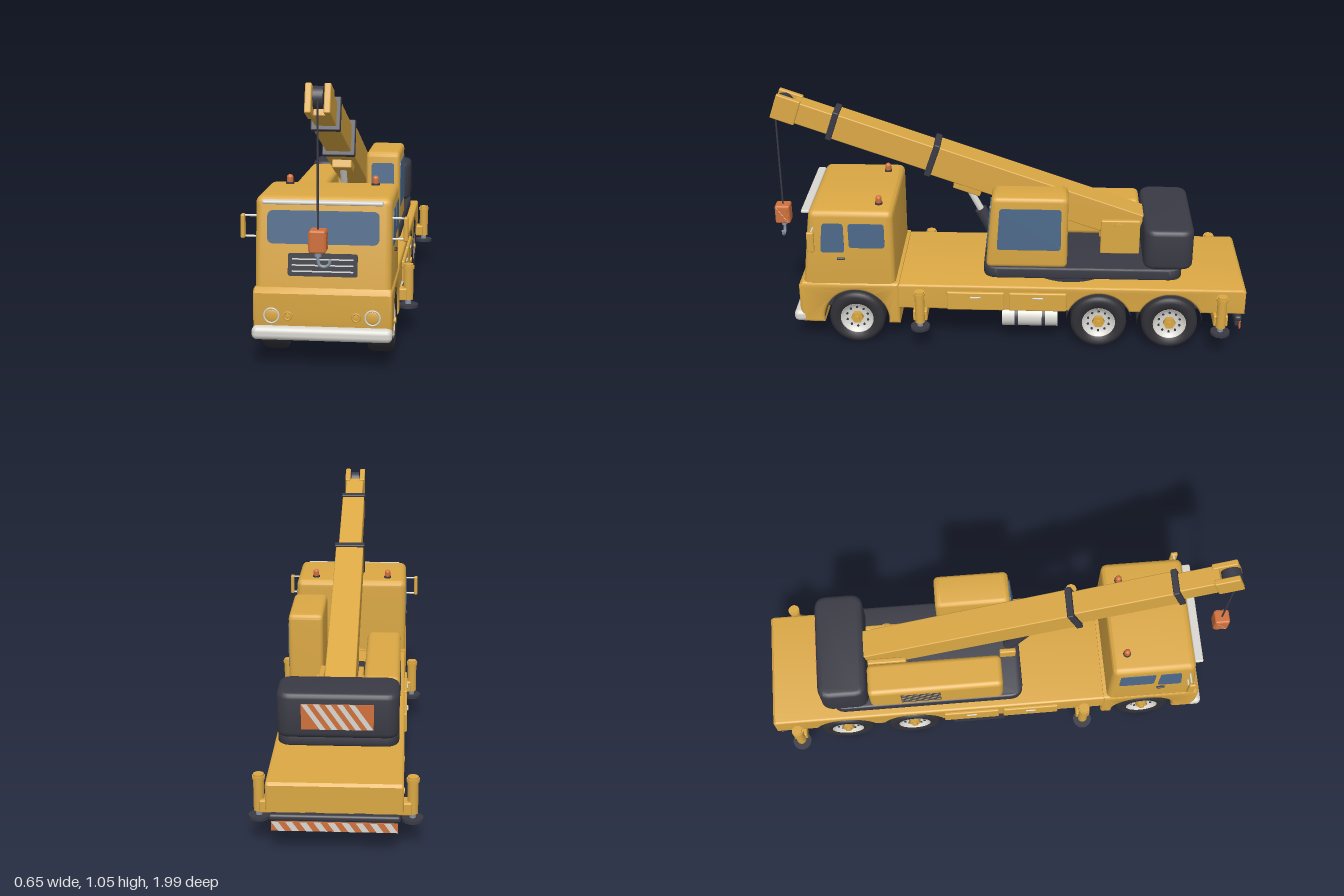
import * as THREE from 'three';
import { toCreasedNormals } from 'three/addons/utils/BufferGeometryUtils.js';
import { RoundedBoxGeometry } from 'three/addons/geometries/RoundedBoxGeometry.js';

const material = (name, color, extra = {}) =>
  Object.assign(new THREE.MeshStandardMaterial({ color, ...extra }), { name });

export function createModel() {
  const yellow = material('yellow paint', 0xdba844);
  const dark = material('dark metal', 0x3a3a45, { side: THREE.DoubleSide });
  const rubber = material('tyre rubber', 0x303036);
  const glass = material('glass', 0x4d6a8a);
  const white = material('light trim', 0xd9d7d0, { side: THREE.DoubleSide });
  const orange = material('orange', 0xd0703c);
  const steel = material('steel', 0x8493a0);

  const root = new THREE.Group();
  root.name = 'craneTruck';
  const add = (geo, mat, name, x = 0, y = 0, z = 0, parent = root) => {
    const m = new THREE.Mesh(geo, mat);
    m.name = name;
    m.position.set(x, y, z);
    parent.add(m);
    return m;
  };
  const box = (w, h, d, x, y, z, mat, name, r = 0.006, parent = root) =>
    add(new RoundedBoxGeometry(w, h, d, 3, Math.min(r, w / 2.1, h / 2.1, d / 2.1)), mat, name, x, y, z, parent);
  const cyl = (r, h, x, y, z, mat, name, axis = 'y', parent = root, seg = 28) => {
    const g = new THREE.CylinderGeometry(r, r, h, seg);
    if (axis === 'x') g.rotateZ(-Math.PI / 2);
    if (axis === 'z') g.rotateX(Math.PI / 2);
    return add(g, mat, name, x, y, z, parent);
  };
  // Polygon with rounded corners
  const poly = (pts, r) => {
    const s = new THREE.Shape(), v = pts.map(p => new THREE.Vector2(...p)), n = v.length;
    v.forEach((p, i) => {
      const toward = q => p.clone().add(q.clone().sub(p).setLength(r));
      const a = toward(v[(i + n - 1) % n]), b = toward(v[(i + 1) % n]);
      i ? s.lineTo(a.x, a.y) : s.moveTo(a.x, a.y);
      s.quadraticCurveTo(p.x, p.y, b.x, b.y);
    });
    s.closePath();
    return s;
  };
  const rect = (w, h, r) => poly([[-w / 2, -h / 2], [w / 2, -h / 2], [w / 2, h / 2], [-w / 2, h / 2]], r);
  const slab = (shape, depth, bevel = 0) => {
    const g = new THREE.ExtrudeGeometry(shape, {
      depth: depth - 2 * bevel, curveSegments: 16, bevelEnabled: bevel > 0,
      bevelSize: bevel, bevelOffset: -bevel, bevelThickness: bevel, bevelSegments: 4 });
    g.translate(0, 0, bevel - depth / 2);
    return toCreasedNormals(g, 0.6);
  };
  // Side profile given as (z, y), extruded across x
  const side = (shape, width, mat, name, bevel = 0, x = 0) =>
    add(slab(shape, width, bevel).rotateY(-Math.PI / 2), mat, name, x);
  const axleY = 0.118;
  const arch = (s, z, r, yb) => {
    const a = Math.asin((yb - axleY) / r);
    s.lineTo(z - r * Math.cos(a), yb);
    s.absarc(z, axleY, r, Math.PI - a, a, true);
  };
  // Orange plate with white slanted stripes, facing +z
  const hazard = (w, h, n, name) => {
    const g = new THREE.Group(), p = (w - h * 0.7) / (n - 0.5);
    g.name = name;
    add(new THREE.BoxGeometry(w, h, 0.006), orange, 'hazardPlate', 0, 0, 0, g);
    for (let i = 0; i < n; i++) {
      const x = -w / 2 + i * p, s = h * 0.7;
      const st = new THREE.Shape([[x + s, -h / 2], [x + s + p / 2, -h / 2], [x + p / 2, h / 2], [x, h / 2]]
        .map(q => new THREE.Vector2(...q)));
      add(new THREE.ShapeGeometry(st), white, 'hazardStripe', 0, 0, 0.004, g);
    }
    root.add(g);
    return g;
  };

  // Driver cab: lower shell with wheel arch, upper shell with sloped front
  const lower = new THREE.Shape();
  lower.moveTo(0.45, 0.1);
  arch(lower, 0.634, 0.137, 0.1);
  [[0.86, 0.1], [0.872, 0.17], [0.872, 0.272], [0.855, 0.292], [0.45, 0.292]].forEach(p => lower.lineTo(...p));
  lower.closePath();
  side(lower, 0.51, yellow, 'cabLower', 0.014);
  side(poly([[0.465, 0.262], [0.853, 0.262], [0.811, 0.62], [0.465, 0.62]], 0.03), 0.5, yellow, 'cabUpper', 0.025);
  box(0.28, 0.14, 0.34, 0, 0.185, 0.635, dark, 'cabUnderside');
  const frontZ = y => 0.853 - (y - 0.262) * 0.117;
  const onFront = (w, h, y, r, mat, name, out = 0, x = 0) =>
    add(slab(rect(w, h, r), 0.008), mat, name, x, y, frontZ(y) + out).rotation.x = -0.117;
  onFront(0.41, 0.122, 0.51, 0.025, glass, 'windscreen');
  onFront(0.255, 0.084, 0.375, 0.01, dark, 'grille');
  for (let i = 0; i < 3; i++) onFront(0.225, 0.005, 0.352 + i * 0.022, 0.002, white, 'grilleBar', 0.004);
  box(0.44, 0.014, 0.035, 0, 0.603, 0.828, white, 'sunVisor');
  box(0.515, 0.05, 0.06, 0, 0.127, 0.87, white, 'frontBumper', 0.02);
  for (const s of [-1, 1]) {
    for (const [x, r] of [[0.185, 0.027], [0.125, 0.014]]) {
      add(new THREE.TorusGeometry(r, 0.0035, 8, 32), r > 0.02 ? white : yellow, 'headlightRing', s * x, 0.19, 0.874);
      add(new THREE.SphereGeometry(r, 24, 12).scale(1, 1, 0.25), yellow, 'headlight', s * x, 0.19, 0.871);
    }
    side(poly([[0.67, 0.435], [0.77, 0.435], [0.757, 0.567], [0.67, 0.567]], 0.015), 0.008, glass, 'frontSideWindow', 0, s * 0.249);
    side(poly([[0.502, 0.457], [0.65, 0.457], [0.65, 0.567], [0.502, 0.567]], 0.015), 0.008, glass, 'rearSideWindow', 0, s * 0.249);
    box(0.012, 0.01, 0.034, s * 0.254, 0.407, 0.685, dark, 'doorHandle');
    box(0.016, 0.09, 0.03, s * 0.299, 0.506, 0.798, yellow, 'mirror');
    for (const y of [0.468, 0.545]) cyl(0.004, 0.06, s * 0.27, y, 0.795, white, 'mirrorArm', 'x');
    cyl(0.016, 0.008, s * 0.165, 0.623, 0.53, dark, 'beaconBase');
    add(new THREE.CapsuleGeometry(0.013, 0.014, 6, 16), orange, 'beacon', s * 0.165, 0.637, 0.53);
  }

  // Carrier deck with arches over the rear wheels
  const deck = new THREE.Shape();
  deck.moveTo(-0.995, 0.172);
  arch(deck, -0.685, 0.137, 0.172);
  arch(deck, -0.387, 0.137, 0.172);
  [[0.46, 0.172], [0.46, 0.285], [-0.985, 0.285], [-0.995, 0.275]].forEach(p => deck.lineTo(...p));
  deck.closePath();
  side(deck, 0.5, yellow, 'deck', 0.01);
  box(0.28, 0.13, 0.68, 0, 0.195, -0.535, dark, 'axleHousing');
  for (const s of [-1, 1]) {
    box(0.04, 0.05, 1.4, s * 0.09, 0.152, -0.25, dark, 'chassisRail');
    for (const z of [0.13, -0.13]) {
      box(0.022, 0.084, 0.24, s * 0.25, 0.218, z, yellow, 'toolLocker');
      box(0.006, 0.008, 0.045, s * 0.263, 0.238, z, white, 'lockerHandle');
    }
  }

  // Wheels and axles
  const tyre = new THREE.LatheGeometry([[0.07, -0.045], [0.1, -0.05], [0.114, -0.042], [0.118, -0.028],
    [0.118, 0.028], [0.114, 0.042], [0.1, 0.05], [0.07, 0.045], [0.064, 0.03], [0.064, -0.03], [0.07, -0.045]]
    .map(p => new THREE.Vector2(...p)), 40).rotateZ(-Math.PI / 2);
  const rim = new THREE.LatheGeometry([[0.072, 0.044], [0.066, 0.046], [0.058, 0.032], [0.036, 0.026], [0, 0.026]]
    .map(p => new THREE.Vector2(...p)), 32).rotateZ(-Math.PI / 2);
  for (const z of [0.634, -0.387, -0.685]) {
    cyl(0.022, 0.34, 0, axleY, z, dark, 'axle', 'x');
    add(new THREE.SphereGeometry(0.045, 20, 12), dark, 'differential', 0, axleY + 0.005, z);
    for (const s of [-1, 1]) {
      const w = new THREE.Group();
      w.name = 'wheel';
      w.position.set(s * 0.2, axleY, z);
      w.rotation.y = s < 0 ? Math.PI : 0;
      root.add(w);
      add(tyre, rubber, 'tyre', 0, 0, 0, w);
      add(rim, white, 'rim', 0, 0, 0, w);
      cyl(0.064, 0.02, -0.02, 0, 0, dark, 'brakeDrum', 'x', w);
      cyl(0.026, 0.03, 0.03, 0, 0, yellow, 'hub', 'x', w, 6);
      cyl(0.012, 0.012, 0.048, 0, 0, yellow, 'hubCap', 'x', w, 16);
      for (let i = 0; i < 10; i++) {
        const a = i * Math.PI / 5;
        cyl(0.005, 0.008, 0.029, 0.046 * Math.cos(a), 0.046 * Math.sin(a), dark, 'rimHole', 'x', w, 8);
      }
      const liner = new THREE.CylinderGeometry(0.137, 0.137, 0.115, 28, 1, true, -Math.PI / 2, Math.PI);
      liner.rotateX(-Math.PI / 2).rotateY(Math.PI / 2);
      add(liner, dark, 'archLiner', s * 0.19, axleY, z);
    }
  }

  // Fuel tank, battery box, outriggers and rear bumper
  cyl(0.048, 0.235, 0.195, 0.124, -0.097, white, 'fuelTank', 'z');
  for (const z of [-0.04, -0.155]) cyl(0.05, 0.014, 0.195, 0.124, z, dark, 'tankStrap', 'z');
  box(0.11, 0.1, 0.235, -0.19, 0.126, -0.097, dark, 'batteryBox', 0.01);
  for (const z of [0.362, -0.893]) {
    box(0.56, 0.05, 0.06, 0, 0.155, z, yellow, 'outriggerBeam');
    for (const s of [-1, 1]) {
      cyl(0.02, 0.145, s * 0.283, 0.203, z, yellow, 'outriggerLeg');
      cyl(0.024, 0.012, s * 0.283, 0.262, z, yellow, 'outriggerCollar');
      cyl(0.012, 0.04, s * 0.283, 0.12, z, steel, 'outriggerRod');
      cyl(0.04, 0.012, s * 0.283, 0.106, z, dark, 'outriggerFoot');
    }
  }
  box(0.48, 0.025, 0.03, 0, 0.143, -0.972, dark, 'rearBumper', 0.01);
  const rear = hazard(0.46, 0.036, 9, 'rearHazardBoard');
  rear.position.set(0, 0.11, -0.982);
  rear.rotation.y = Math.PI;
  box(0.44, 0.03, 0.016, 0, 0.112, -0.97, dark, 'hazardBacking');

  // Turntable, slewing platform and counterweight
  cyl(0.2, 0.04, 0, 0.298, -0.262, dark, 'turntable', 'y', root, 48);
  add(slab(rect(0.46, 0.825, 0.06), 0.05, 0.01).rotateX(-Math.PI / 2), dark, 'platform', 0, 0.34, -0.315);
  add(slab(rect(0.46, 0.205, 0.055), 0.178, 0.022).rotateX(-Math.PI / 2), dark, 'counterweight', 0, 0.452, -0.667);
  const board = hazard(0.27, 0.1, 5, 'counterweightBoard');
  board.position.set(0, 0.452, -0.77);
  board.rotation.y = Math.PI;

  // Operator cab and engine hood
  side(poly([[-0.25, 0.362], [0.088, 0.362], [0.062, 0.68], [-0.25, 0.68]], 0.025), 0.14, yellow, 'operatorCab', 0.018, 0.155);
  side(poly([[-0.222, 0.447], [0.042, 0.447], [0.03, 0.633], [-0.222, 0.633]], 0.015), 0.008, glass, 'operatorSideWindow', 0, 0.224);
  add(slab(rect(0.095, 0.2, 0.015), 0.008), glass, 'operatorFrontWindow', 0.155, 0.535, 0.0745).rotation.x = -0.082;
  box(0.14, 0.17, 0.57, -0.16, 0.447, -0.275, yellow, 'engineHood', 0.022);
  for (let i = 0; i < 5; i++) box(0.006, 0.008, 0.17, -0.23, 0.41 + i * 0.02, -0.34, dark, 'louvre', 0.002);

  // Boom mount and lift cylinder
  for (const s of [-1, 1]) {
    box(0.022, 0.155, 0.165, s * 0.076, 0.44, -0.473, yellow, 'boomMount');
    cyl(0.02, 0.01, s * 0.089, 0.487, -0.467, yellow, 'boomPivot', 'x');
    box(0.02, 0.06, 0.07, s * 0.04, 0.392, 0.045, yellow, 'cylinderMount');
  }
  const strut = (y0, z0, y1, z1, r, mat, name) => {
    cyl(r, Math.hypot(y1 - y0, z1 - z0), 0, (y0 + y1) / 2, (z0 + z1) / 2, mat, name)
      .rotation.x = Math.atan2(z1 - z0, y1 - y0);
  };
  strut(0.39, 0.05, 0.525, 0.119, 0.026, dark, 'liftBarrel');
  strut(0.51, 0.111, 0.63, 0.173, 0.014, white, 'liftRod');

  // Telescopic boom, modelled along local z from the first collar
  const boom = new THREE.Group();
  boom.name = 'boom';
  boom.position.set(0, 0.77, 0.315);
  boom.rotation.x = -0.335;
  root.add(boom);
  const part = (w, h, z0, z1, mat, name, x = 0, y = 0) =>
    box(w, h, z1 - z0, x, y, (z0 + z1) / 2, mat, name, 0.005, boom);
  part(0.12, 0.13, -0.92, 0, yellow, 'baseSection');
  part(0.132, 0.147, -0.013, 0.014, dark, 'firstCollar');
  part(0.1, 0.112, 0, 0.435, yellow, 'middleSection');
  part(0.11, 0.128, 0.422, 0.448, dark, 'secondCollar');
  part(0.08, 0.094, 0.435, 0.61, yellow, 'tipSection');
  part(0.08, 0.04, -0.24, -0.12, yellow, 'liftBracket', 0, -0.078);
  for (const s of [-1, 1]) part(0.024, 0.108, 0.585, 0.688, yellow, 'headCheek', s * 0.034);
  cyl(0.04, 0.036, 0, 0.01, 0.652, dark, 'sheave', 'x', boom);

  // Cable, hook block and hook
  cyl(0.004, 0.46, 0, 0.755, 0.967, dark, 'cable', 'y', root, 10);
  box(0.06, 0.082, 0.064, 0, 0.493, 0.967, orange, 'hookBlock', 0.008);
  for (const s of [-1, 1]) {
    const h = hazard(0.05, 0.066, 2, 'hookBlockStripes');
    h.position.set(s * 0.029, 0.493, 0.967);
    h.rotation.y = s * Math.PI / 2;
  }
  cyl(0.012, 0.02, 0, 0.446, 0.967, steel, 'hookSwivel');
  const curve = new THREE.CatmullRomCurve3([[0, 0.445], [0, 0.42], [0.006, 0.404], [0.022, 0.399], [0.038, 0.407], [0.042, 0.422]]
    .map(([x, y]) => new THREE.Vector3(x, y, 0.967)));
  add(new THREE.TubeGeometry(curve, 24, 0.006, 10), steel, 'hook');
  add(new THREE.SphereGeometry(0.006, 10, 8), steel, 'hookTip', 0.042, 0.422, 0.967);

  return root;
}
